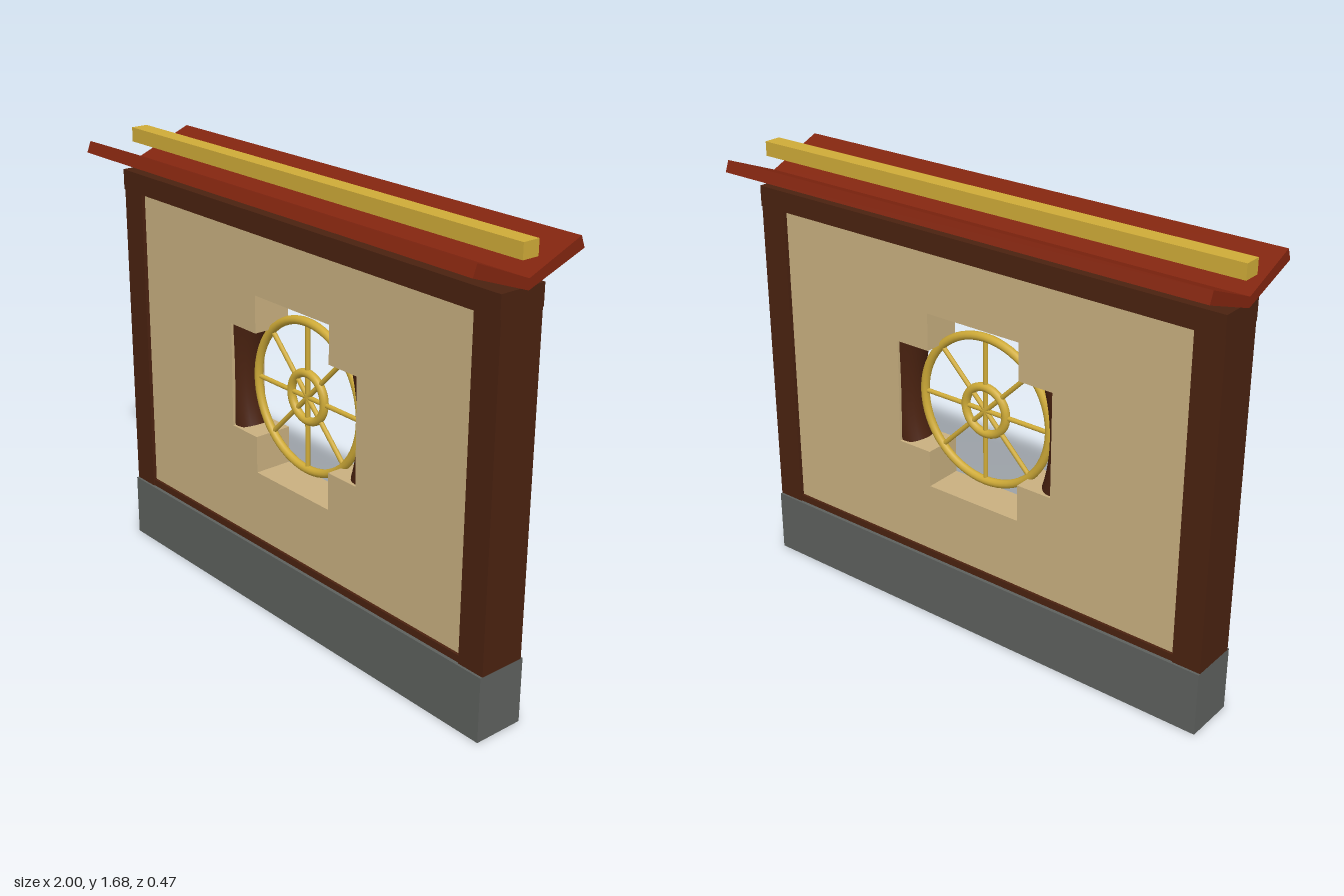
import * as THREE from 'three';

const material = (name, color) => {
  const m = new THREE.MeshStandardMaterial({ color });
  m.name = name;
  return m;
};

export function createModel() {
  const model = new THREE.Group();
  model.name = 'wallWithWheelWindow';

  const stone = material('grey stone', 0x5e615e);
  const wood = material('dark wood', 0x4a2210);
  const plaster = material('tan plaster', 0xc9b080);
  const tile = material('red roof', 0x82250f);
  const gold = material('gold', 0xcfab38);

  const add = (parent, name, geometry, mat, x = 0, y = 0, z = 0) => {
    const mesh = new THREE.Mesh(geometry, mat);
    mesh.name = name;
    mesh.position.set(x, y, z);
    parent.add(mesh);
    return mesh;
  };
  const box = (name, w, y0, y1, d, mat, x = 0) =>
    add(model, name, new THREE.BoxGeometry(w, y1 - y0, d), mat, x, (y0 + y1) / 2);

  // Plinth and timber frame
  box('plinth', 1.96, 0, 0.245, 0.196, stone);
  box('topBeam', 1.96, 1.455, 1.532, 0.186, wood);
  box('bottomBeam', 1.74, 0.245, 0.272, 0.17, wood);
  for (const s of [-1, 1]) box(s > 0 ? 'leftPost' : 'rightPost', 0.11, 0.245, 1.455, 0.178, wood, s * 0.925);

  // Plaster panel with a cross-shaped opening
  const cy = 0.882;
  const panel = new THREE.Shape([
    [-0.87, 0.272], [0.87, 0.272], [0.87, 1.455], [-0.87, 1.455],
  ].map(([x, y]) => new THREE.Vector2(x, y)));
  panel.holes.push(new THREE.Path([
    [0.2, -0.342], [0.2, -0.2], [0.342, -0.2], [0.342, 0.2], [0.2, 0.2], [0.2, 0.342],
    [-0.2, 0.342], [-0.2, 0.2], [-0.342, 0.2], [-0.342, -0.2], [-0.2, -0.2], [-0.2, -0.342],
  ].map(([x, y]) => new THREE.Vector2(x, cy + y))));
  const panelDepth = 0.15;
  add(model, 'panel', new THREE.ExtrudeGeometry(panel, { depth: panelDepth, bevelEnabled: false }),
    plaster, 0, 0, -panelDepth / 2);

  // Curved wooden jambs at the sides of the opening, their ends set into the panel
  const arc = 0.62;
  for (const s of [-1, 1]) {
    const jamb = add(model, s > 0 ? 'leftJamb' : 'rightJamb',
      new THREE.TorusGeometry(0.685, 0.065, 20, 20, arc), wood, -s * 0.323, cy);
    jamb.rotation.z = (s > 0 ? 0 : Math.PI) - arc / 2;
  }

  // Spoked wheel in the opening
  const wheel = new THREE.Group();
  wheel.name = 'wheel';
  wheel.position.y = cy;
  model.add(wheel);
  add(wheel, 'rim', new THREE.TorusGeometry(0.28, 0.016, 12, 64), gold);
  add(wheel, 'hubRing', new THREE.TorusGeometry(0.09, 0.016, 12, 40), gold);
  for (let i = 0; i < 4; i++) {
    const spoke = add(wheel, 'spoke', new THREE.CylinderGeometry(0.009, 0.009, 0.56, 10), gold);
    spoke.rotation.z = (i * Math.PI) / 4;
  }

  // V-shaped roof, its profile in z and y, run along x
  const profile = new THREE.Shape([
    [0, 1.529], [0.235, 1.613], [0.219, 1.654], [0, 1.566], [-0.219, 1.654], [-0.235, 1.613],
  ].map(([z, y]) => new THREE.Vector2(z, y)));
  const roof = add(model, 'roof', new THREE.ExtrudeGeometry(profile, { depth: 2, bevelEnabled: false }), tile, -1);
  roof.rotation.y = Math.PI / 2;

  // Ridge bar above the valley
  box('ridgeBar', 2, 1.626, 1.68, 0.066, gold);

  return model;
}
